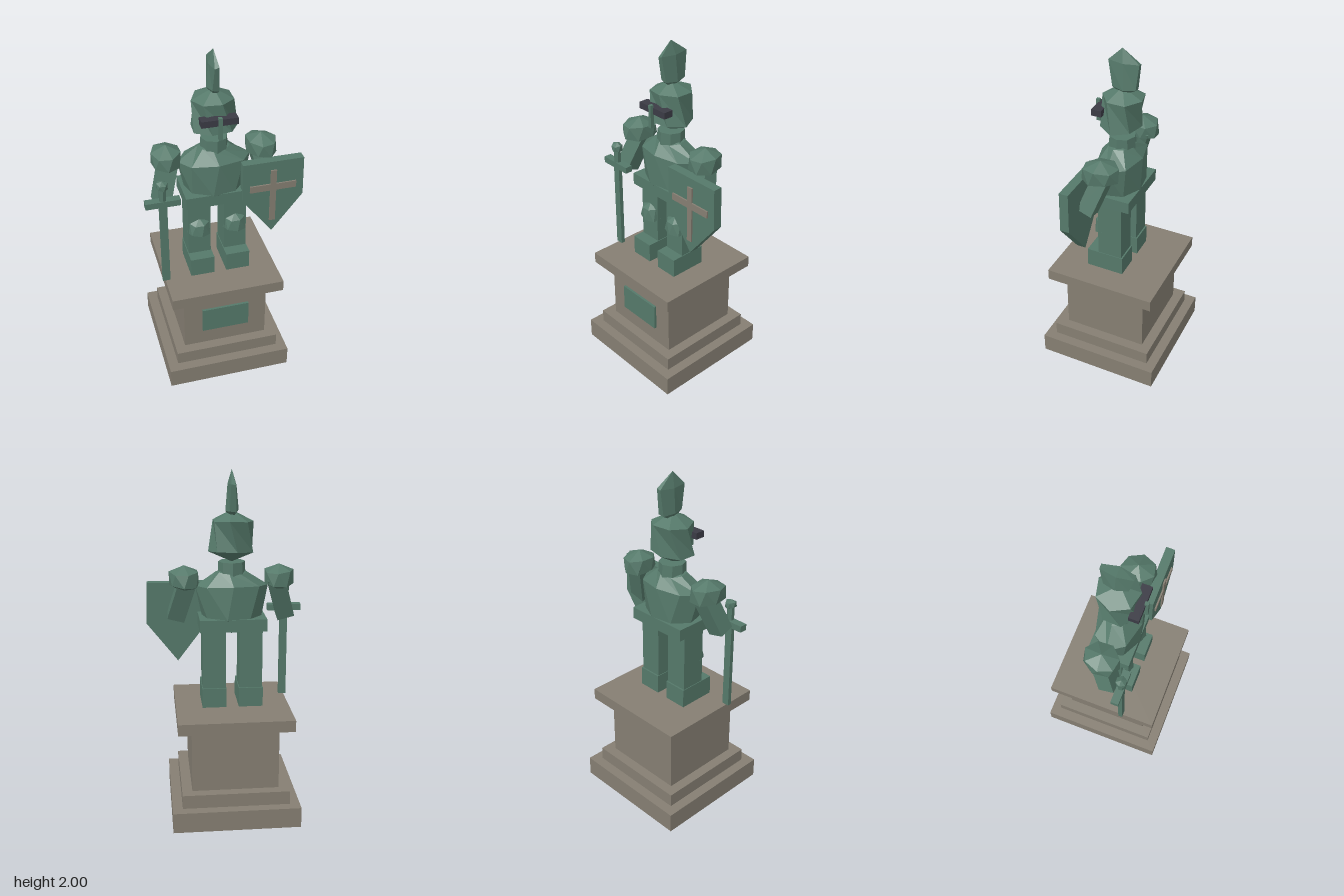
import * as THREE from 'three';

const mat = (name, color) => {
  const m = new THREE.MeshStandardMaterial({ color });
  m.name = name;
  return m;
};

// Faceted closed form: rings listed from top to bottom as [y, rx, rz, phase, dx, dz], capped by two points
function facetedForm(top, rings, bottom, segs = 7) {
  const pos = [0, top, 0];
  for (const [y, rx, rz, phase = 0, dx = 0, dz = 0] of rings) {
    for (let i = 0; i < segs; i++) {
      const a = (i / segs) * Math.PI * 2 + phase;
      const wobble = Math.sin(i * 4.7 + y * 31) * 0.006;
      pos.push(dx + Math.cos(a) * rx, y + wobble, dz + Math.sin(a) * rz);
    }
  }
  pos.push(0, bottom, 0);
  const last = pos.length / 3 - 1;
  const idx = [];
  for (let i = 0; i < segs; i++) {
    const j = (i + 1) % segs;
    idx.push(0, 1 + j, 1 + i);
    for (let r = 0; r < rings.length - 1; r++) {
      const u = 1 + r * segs, l = u + segs;
      idx.push(u + i, u + j, l + i, u + j, l + j, l + i);
    }
    const b = 1 + (rings.length - 1) * segs;
    idx.push(b + i, b + j, last);
  }
  const g = new THREE.BufferGeometry();
  g.setAttribute('position', new THREE.Float32BufferAttribute(pos, 3));
  g.setIndex(idx);
  const flat = g.toNonIndexed();
  flat.computeVertexNormals();
  return flat;
}

export function createModel() {
  const bronze = mat('weathered bronze', 0x55796a);
  const stone = mat('stone', 0x857e72);
  const dark = mat('dark slit', 0x3b3b45);
  const root = new THREE.Group();
  root.name = 'knightStatue';
  const CX = -0.034; // statue and pedestal axis

  const add = (name, geo, material, x = 0, y = 0, z = 0, parent = root) => {
    const m = new THREE.Mesh(geo, material);
    m.name = name;
    m.position.set(x, y, z);
    parent.add(m);
    return m;
  };
  // Box given by its extents
  const box = (name, material, x0, x1, y0, y1, z0, z1) =>
    add(name, new THREE.BoxGeometry(x1 - x0, y1 - y0, z1 - z0), material,
      (x0 + x1) / 2, (y0 + y1) / 2, (z0 + z1) / 2);

  // Pedestal
  for (const [name, half, y0, y1] of [
    ['pedestalBase', 0.368, 0, 0.12], ['pedestalStep', 0.31, 0.12, 0.2],
    ['pedestalBlock', 0.251, 0.2, 0.578], ['pedestalCap', 0.33, 0.578, 0.645],
  ]) box(name, stone, CX - half, CX + half, y0, y1, -half, half);
  box('plaque', bronze, -0.175, 0.107, 0.305, 0.465, 0.25, 0.265);

  // Legs, feet, knees, arms and shoulders on both sides
  for (const s of [-1, 1]) {
    const side = s < 0 ? 'right' : 'left';
    const lx = CX + s * 0.106;
    box(side + 'Leg', bronze, lx - 0.066, lx + 0.066, 0.645, 1.13, -0.073, 0.073);
    box(side + 'Foot', bronze, lx - 0.07, lx + 0.07, 0.645, 0.76, -0.082, 0.142);
    add(side + 'Knee', facetedForm(0.064, [
      [0.033, 0.058, 0.045, 0.3], [-0.035, 0.07, 0.055, 0.6],
    ], -0.066), bronze, lx, 0.937, 0.065);

    const sx = CX + s * 0.27;
    const shoulder = add(side + 'Shoulder', facetedForm(0.073, [
      [0.034, 0.084, 0.1, 0.2], [-0.04, 0.085, 0.105, 0.5],
    ], -0.08), bronze, sx, 1.4, 0);
    shoulder.rotation.y = s * 0.2;

    const from = new THREE.Vector3(CX + s * 0.245, 1.41, -0.025);
    const to = new THREE.Vector3(CX + s * 0.318, 1.16, 0.06);
    const dir = from.clone().sub(to);
    const mid = from.clone().add(to).multiplyScalar(0.5);
    const arm = add(side + 'Arm', new THREE.BoxGeometry(0.1, dir.length(), 0.09), bronze, mid.x, mid.y, mid.z);
    arm.quaternion.setFromUnitVectors(new THREE.Vector3(0, 1, 0), dir.normalize());
  }

  // Torso, belt and neck
  add('torso', facetedForm(1.465, [
    [1.43, 0.09, 0.075, 0.2], [1.36, 0.208, 0.125, 0], [1.17, 0.17, 0.13, 0.2],
  ], 1.07, 8), bronze, CX, 0, 0);
  box('belt', bronze, -0.224, 0.156, 1.11, 1.18, -0.126, 0.122);
  const neck = new THREE.CylinderGeometry(0.076, 0.08, 0.11, 8).toNonIndexed();
  neck.computeVertexNormals();
  add('neck', neck, bronze, CX, 1.437, 0);

  // Helmet with visor slit and nose guard
  add('helmet', facetedForm(1.78, [
    [1.722, 0.118, 0.118, 0.45, -0.004, -0.008], [1.552, 0.132, 0.115, 0.05, 0, 0.004],
  ], 1.49), bronze, CX, 0, 0);
  box('visorSlit', dark, -0.135, 0.066, 1.623, 1.66, 0.08, 0.138);
  box('noseGuard', bronze, -0.044, -0.025, 1.545, 1.675, 0.132, 0.154);

  // Plume
  add('plume', facetedForm(2, [
    [1.92, 0.025, 0.102, 0, 0, -0.012], [1.78, 0.037, 0.078, 0, 0, -0.016],
  ], 1.73, 6), bronze, CX, 0, 0);

  // Sword
  const swordX = -0.357;
  box('swordBlade', bronze, swordX - 0.022, swordX + 0.022, 0.645, 1.18, 0.118, 0.142);
  box('swordGuard', bronze, -0.456, -0.259, 1.17, 1.207, 0.105, 0.15);
  const grip = new THREE.CylinderGeometry(0.021, 0.021, 0.1, 6).toNonIndexed();
  grip.computeVertexNormals();
  add('swordGrip', grip, bronze, swordX, 1.245, 0.13);
  add('swordPommel', facetedForm(0.03, [
    [0.015, 0.032, 0.032, 0], [-0.015, 0.032, 0.032, 0.4],
  ], -0.03, 6), bronze, swordX, 1.3, 0.13);

  // Shield
  const outline = new THREE.Shape([
    [0.095, 1.355], [0.098, 1.115], [0.273, 0.885], [0.452, 1.115], [0.447, 1.355],
  ].map(([x, y]) => new THREE.Vector2(x, y)));
  add('shield', new THREE.ExtrudeGeometry(outline, { depth: 0.053, bevelEnabled: false }), bronze, 0, 0, 0.086);

  // Cross on the shield, built as one outline
  const [x0, x1, x2, x3] = [0.136, 0.255, 0.289, 0.406];
  const [y0, y1, y2, y3] = [0.965, 1.172, 1.213, 1.302];
  const cross = new THREE.Shape([
    [x1, y0], [x2, y0], [x2, y1], [x3, y1], [x3, y2], [x2, y2],
    [x2, y3], [x1, y3], [x1, y2], [x0, y2], [x0, y1], [x1, y1],
  ].map(([x, y]) => new THREE.Vector2(x, y)));
  add('shieldCross', new THREE.ExtrudeGeometry(cross, { depth: 0.009, bevelEnabled: false }), stone, 0, 0, 0.139);

  return root;
}
